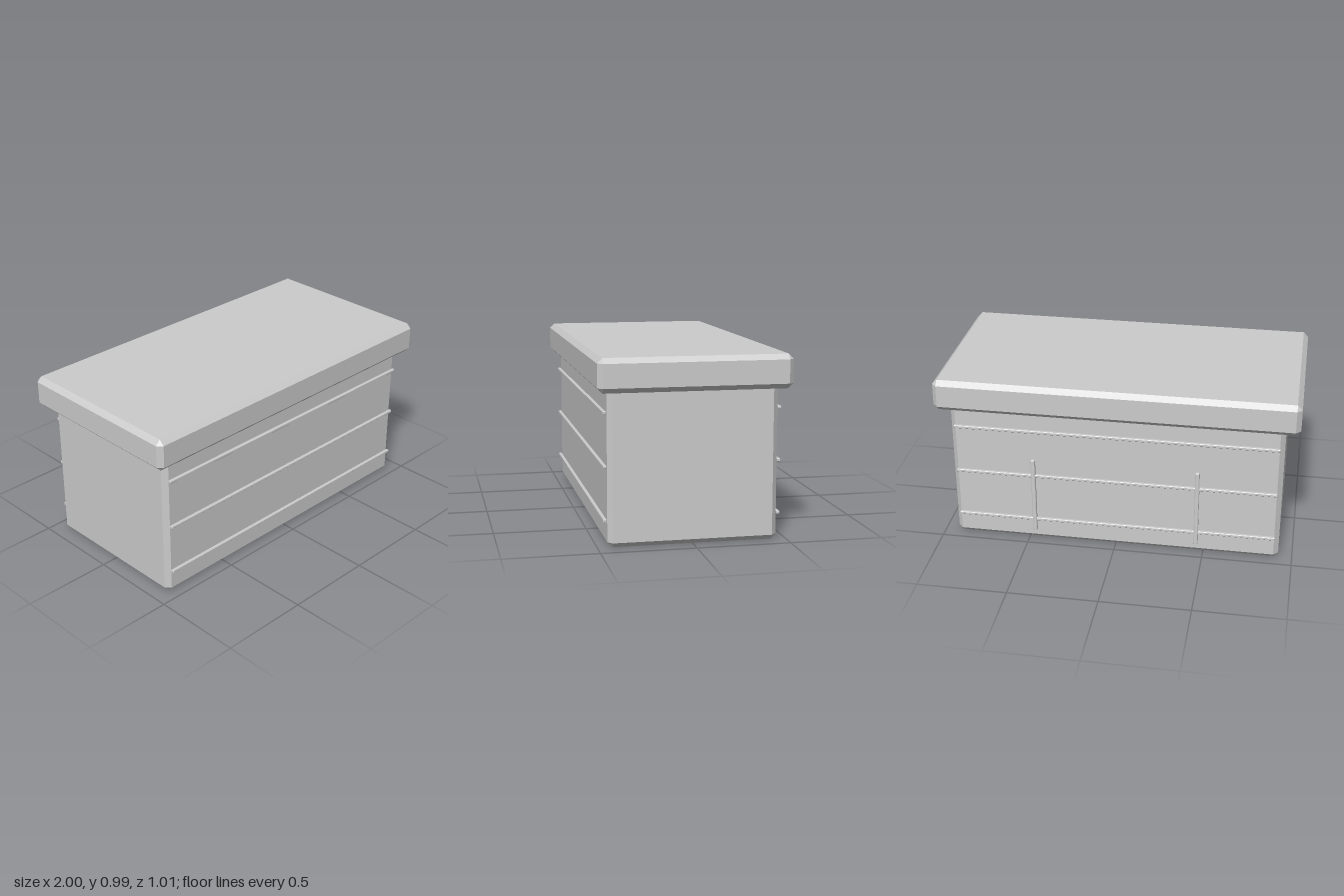
import * as THREE from 'three';
import { ConvexGeometry } from 'three/addons/geometries/ConvexGeometry.js';

const material = new THREE.MeshStandardMaterial({ color: 0xcccccc, flatShading: true });

// Box with every edge cut by a flat chamfer, given its size and centre
function chamferBox(name, [w, h, d], [x, y, z], c) {
  const points = [];
  for (const sx of [-1, 1]) for (const sy of [-1, 1]) for (const sz of [-1, 1]) {
    const corner = new THREE.Vector3(sx * w / 2, sy * h / 2, sz * d / 2);
    // each corner becomes three points, one on each adjoining face
    points.push(corner.clone().sub(new THREE.Vector3(0, sy * c, sz * c)));
    points.push(corner.clone().sub(new THREE.Vector3(sx * c, 0, sz * c)));
    points.push(corner.clone().sub(new THREE.Vector3(sx * c, sy * c, 0)));
  }
  const mesh = new THREE.Mesh(new ConvexGeometry(points), material);
  mesh.name = name;
  mesh.position.set(x, y, z);
  return mesh;
}

export function createModel() {
  const model = new THREE.Group();
  model.name = 'chest';

  // Body, its top tucked inside the lid
  model.add(chamferBox('body', [1.846, 0.84, 0.896], [0, 0.42, 0], 0.027));

  // Overhanging lid
  model.add(chamferBox('lid', [2, 0.178, 1.014], [0, 0.897, 0], 0.027));

  // Three horizontal slats on the front and on the back
  for (const side of [-1, 1]) {
    for (const y of [0.14, 0.42, 0.698]) {
      model.add(chamferBox(side > 0 ? 'frontSlat' : 'backSlat',
        [1.8, 0.017, 0.019], [0, y, side * 0.4595], 0.003));
    }
  }

  // Two upright bars on the back
  for (const x of [-0.46, 0.46]) {
    model.add(chamferBox('backBar', [0.024, 0.458, 0.02], [x, 0.294, -0.4625], 0.004));
  }

  return model;
}
